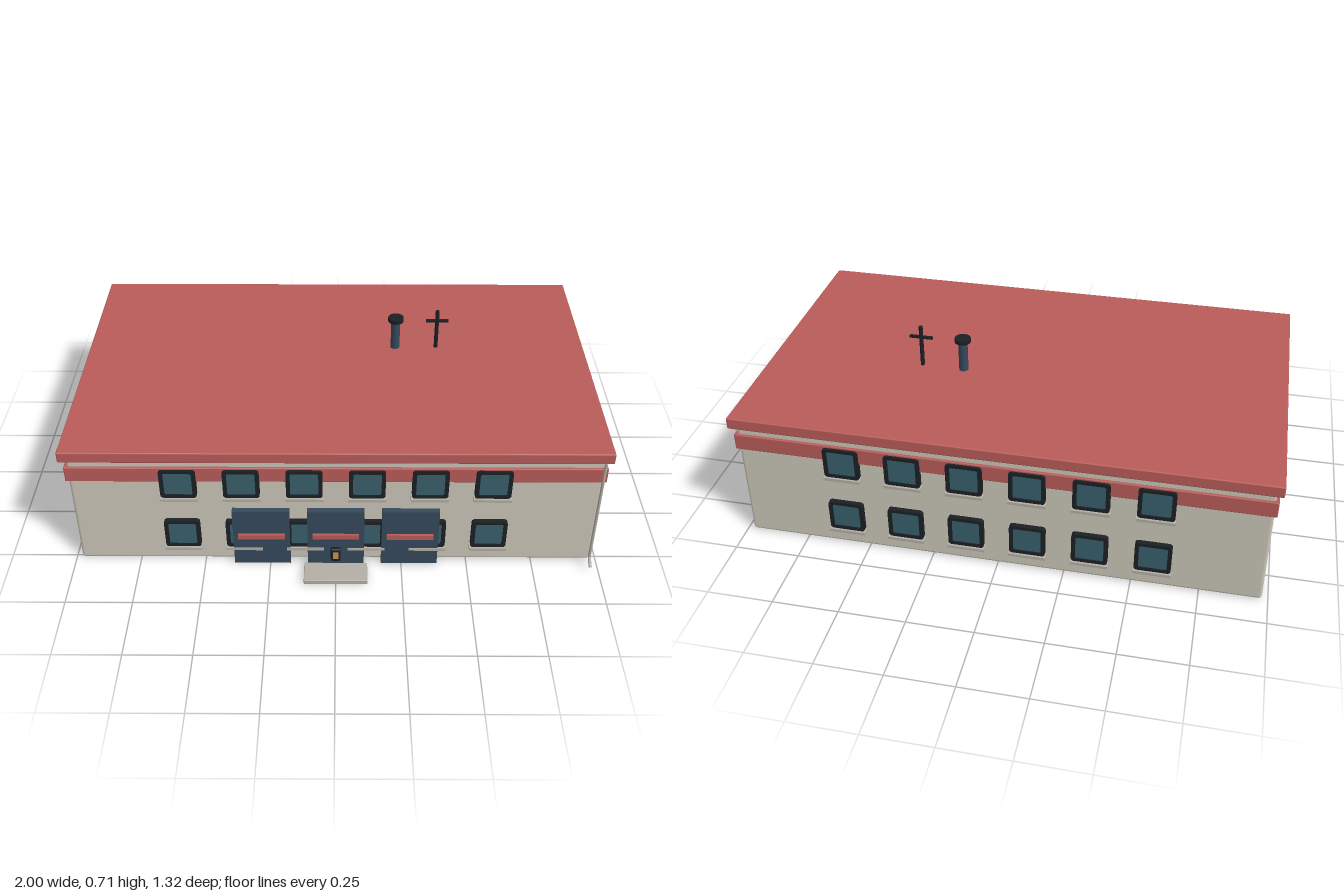
import * as THREE from 'three';
import { RoundedBoxGeometry } from 'three/addons/geometries/RoundedBoxGeometry.js';

const mat = (color) => new THREE.MeshStandardMaterial({ color });
const wall = mat(0xcbc6b8), red = mat(0xb85c59), dark = mat(0x1b2024), navy = mat(0x35495c);
const glass = mat(0x38606b), stone = mat(0xb3afa6), gold = mat(0xc8964a);

function add(parent, name, geometry, material, x = 0, y = 0, z = 0) {
  const mesh = new THREE.Mesh(geometry, material);
  mesh.name = name;
  mesh.position.set(x, y, z);
  parent.add(mesh);
  return mesh;
}
const box = (w, h, d) => new THREE.BoxGeometry(w, h, d);
const rounded = (w, h, d, r) => new RoundedBoxGeometry(w, h, d, 2, r);

// Rectangle outline with rounded corners, centred on the origin
function roundRect(Type, w, h, r) {
  const s = new Type(), x = w / 2 - r, y = h / 2 - r;
  s.absarc(x, y, r, 0, Math.PI / 2);
  s.absarc(-x, y, r, Math.PI / 2, Math.PI);
  s.absarc(-x, -y, r, Math.PI, Math.PI * 1.5);
  s.absarc(x, -y, r, Math.PI * 1.5, Math.PI * 2);
  s.closePath();
  return s;
}

const frameShape = roundRect(THREE.Shape, 0.134, 0.126, 0.012);
frameShape.holes.push(roundRect(THREE.Path, 0.104, 0.1, 0.006));
const frameGeo = new THREE.ExtrudeGeometry(frameShape, { depth: 0.023, bevelEnabled: false, curveSegments: 3 });
const paneGeo = box(0.108, 0.104, 0.018);
const sillGeo = box(0.14, 0.012, 0.034);

// Window facing +z with the wall surface at z = 0
function makeWindow(x, y) {
  const g = new THREE.Group();
  g.name = 'window';
  add(g, 'windowFrame', frameGeo, dark, 0, 0, -0.004);
  add(g, 'windowPane', paneGeo, glass, 0, 0, 0.005);
  add(g, 'windowSill', sillGeo, stone, 0, -0.069, 0.0105);
  g.position.set(x, y, 0.575);
  return g;
}

export function createModel() {
  const model = new THREE.Group();
  const building = new THREE.Group();
  building.name = 'building';
  building.position.z = -0.06;
  model.add(building);

  // Walls, coloured band and flat roof
  add(building, 'walls', rounded(1.955, 0.485, 1.15, 0.012), wall, 0, 0.2475, 0);
  add(building, 'wallBand', rounded(1.975, 0.064, 1.17, 0.004), red, 0, 0.428, 0);
  add(building, 'roof', rounded(2, 0.045, 1.2, 0.005), red, 0, 0.5175, 0);

  // Two rows of six windows on front and back
  for (const turn of [0, Math.PI]) {
    const side = new THREE.Group();
    side.name = turn ? 'backWindows' : 'frontWindows';
    side.rotation.y = turn;
    for (const y of [0.39, 0.146])
      for (let i = 0; i < 6; i++) side.add(makeWindow((i - 2.5) * 0.231, y));
    building.add(side);
  }

  // Three doors with push bars
  for (const x of [-0.28, 0, 0.28]) {
    add(model, 'door', box(0.214, 0.26, 0.024), navy, x, 0.133, 0.528);
    add(model, 'doorBar', box(0.176, 0.021, 0.012), red, x, 0.145, 0.544);
  }

  // Entrance step and lantern
  add(model, 'entranceStep', rounded(0.24, 0.02, 0.096, 0.003), stone, 0, 0.014, 0.607);
  add(model, 'lanternCase', rounded(0.036, 0.058, 0.018, 0.005), dark, 0, 0.153, 0.646);
  add(model, 'lanternLight', box(0.02, 0.032, 0.004), gold, 0, 0.153, 0.655);

  // Downspout with a kicked-out foot
  const pipe = new THREE.CurvePath();
  const points = [[0.505, 0.546], [0.052, 0.546], [0.042, 0.553], [0.026, 0.586]]
    .map(([y, z]) => new THREE.Vector3(0.967, y, z));
  for (let i = 0; i < 3; i++) pipe.add(new THREE.LineCurve3(points[i], points[i + 1]));
  add(model, 'downspout', new THREE.TubeGeometry(pipe, 48, 0.006, 8), stone);

  // Roof chimney and antenna
  add(model, 'chimney', new THREE.CylinderGeometry(0.018, 0.018, 0.13, 20), navy, 0.237, 0.6, -0.157);
  add(model, 'chimneyCap', new THREE.CylinderGeometry(0.031, 0.031, 0.016, 20), dark, 0.237, 0.671, -0.157);
  add(model, 'antennaPost', new THREE.CylinderGeometry(0.008, 0.008, 0.172, 10), dark, 0.402, 0.624, -0.157);
  add(model, 'antennaBar', box(0.09, 0.01, 0.01), dark, 0.402, 0.664, -0.157);

  return model;
}
